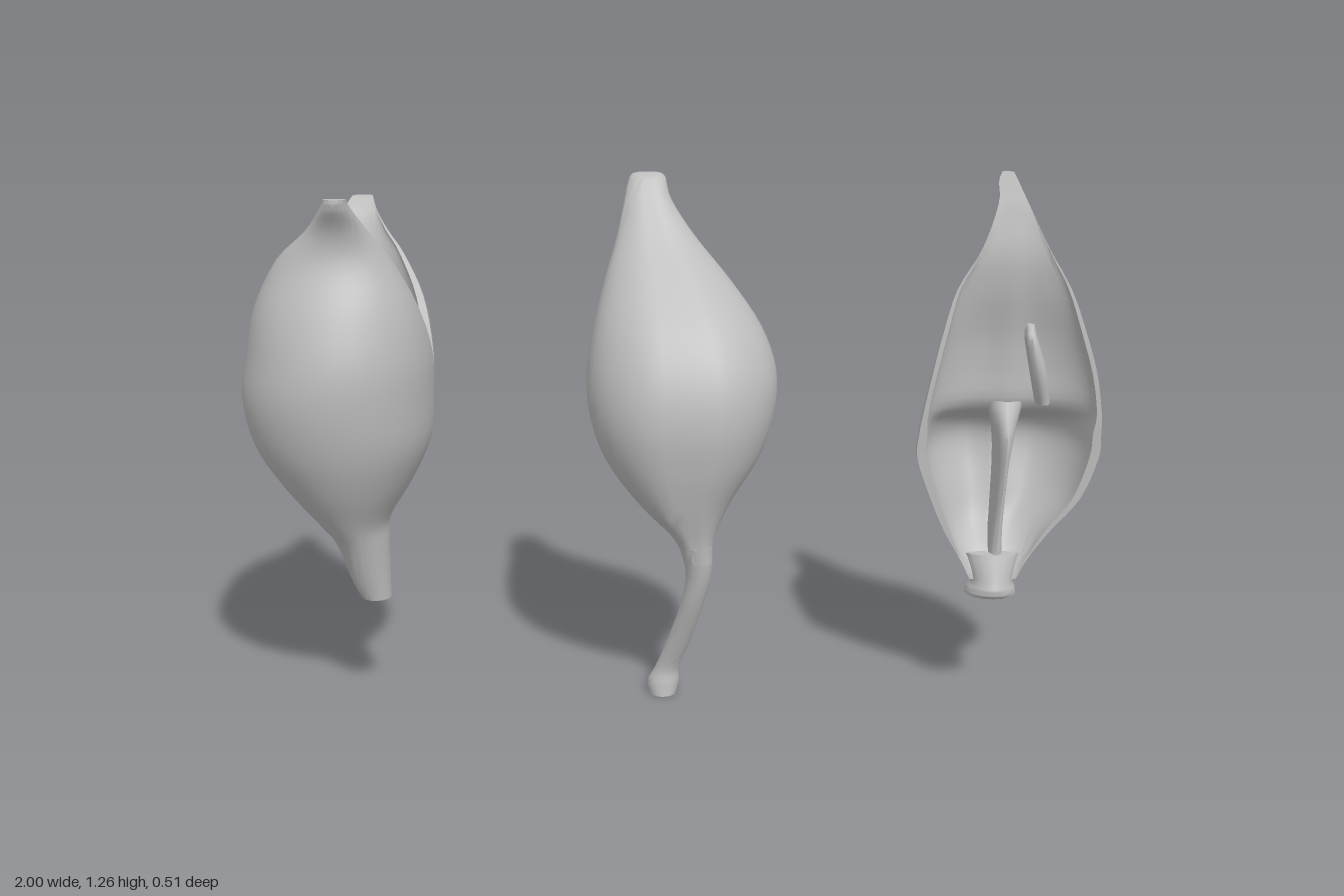
import * as THREE from 'three';
import { toCreasedNormals } from 'three/addons/utils/BufferGeometryUtils.js';

const podGrey = new THREE.MeshStandardMaterial({ color: 0xbcbcbc });
podGrey.name = 'podGrey';

// Smoothly resample rows of numbers (Catmull-Rom on every column)
function resample(rows, steps = 4) {
  const out = [], n = rows.length - 1;
  for (let k = 0; k <= n * steps; k++) {
    const i = Math.min(Math.floor(k / steps), n - 1), t = k / steps - i;
    const [a, b, c, d] = [Math.max(i - 1, 0), i, i + 1, Math.min(i + 2, n)].map((m) => rows[m]);
    out.push(b.map((p, j) => {
      const m0 = (c[j] - a[j]) / 2, m1 = (d[j] - p) / 2, e = c[j] - p;
      return p + t * (m0 + t * (3 * e - 2 * m0 - m1 + t * (m0 + m1 - 2 * e)));
    }));
  }
  return out;
}

// Skin closed rings (ordered bottom to top) and cap both ends
function loft(name, rings) {
  const n = rings[0].length, pos = rings.flat(2), idx = [];
  for (let i = 0; i < rings.length - 1; i++) {
    for (let j = 0; j < n; j++) {
      const a = i * n + j, b = i * n + (j + 1) % n;
      idx.push(a, a + n, b, b, a + n, b + n);
    }
  }
  [rings[0], rings[rings.length - 1]].forEach((ring, top) => {
    const centre = pos.length / 3, base = top ? (rings.length - 1) * n : 0;
    pos.push(...[0, 1, 2].map((k) => ring.reduce((s, p) => s + p[k], 0) / n));
    for (let j = 0; j < n; j++) {
      const a = base + j, b = base + (j + 1) % n;
      idx.push(centre, ...(top ? [b, a] : [a, b]));
    }
  });
  const geo = new THREE.BufferGeometry();
  geo.setAttribute('position', new THREE.Float32BufferAttribute(pos, 3));
  geo.setIndex(idx);
  const mesh = new THREE.Mesh(toCreasedNormals(geo, 0.9), podGrey);
  mesh.name = name;
  return mesh;
}

// Dent that runs down the middle of a lobed surface
const dent = (c, amount) => 1 - amount * Math.exp(-((c / 0.25) ** 2));

// Solid body; rows are [y, xMin, xMax, zMin, zMax]
function solid(name, rows, lobe = 0, sides = 32) {
  return loft(name, resample(rows).map(([y, x0, x1, z0, z1]) =>
    Array.from({ length: sides }, (_, j) => {
      const a = (j / sides) * Math.PI * 2, c = Math.cos(a);
      return [(x0 + x1) / 2 + (x1 - x0) / 2 * c, y,
        (z0 + z1) / 2 + (z1 - z0) / 2 * Math.sin(a) * dent(c, lobe)];
    })));
}

// Half pod; rows are [y, xMin, xMax, zRim, zOuter, hollow], hollow 0 is solid
function valve(name, rows, lobe = 0, segs = 24) {
  return loft(name, resample(rows).map(([y, x0, x1, rim, outer, hollow]) => {
    const cx = (x0 + x1) / 2, rx = (x1 - x0) / 2, depth = outer - rim, s = Math.sign(depth);
    const h = Math.max(hollow, 0), ring = [];
    for (let j = 0; j <= segs; j++) {
      const a = (j / segs) * Math.PI, c = Math.cos(a);
      ring.push([cx + s * rx * c, y, rim + depth * Math.sin(a) * dent(c, lobe)]);
    }
    for (let j = segs; j >= 0; j--) {
      const a = (j / segs) * Math.PI, c = Math.cos(a);
      ring.push([cx + s * rx * (0.985 - 0.1 * h) * c, y, rim + depth * h * Math.sin(a) * dent(c, lobe)]);
    }
    return ring;
  }));
}

export function createModel() {
  const model = new THREE.Group();
  model.name = 'seedPods';
  const group = (name, ...parts) => {
    const g = new THREE.Group();
    g.name = name;
    g.add(...parts);
    model.add(g);
  };

  // Pod splitting open at the top into two valves
  group('splittingPod',
    valve('frontValve', [
      [0.26, -0.745, -0.675, 0.04, 0.075, 0],
      [0.30, -0.765, -0.675, 0.04, 0.085, 0],
      [0.40, -0.80, -0.675, 0.035, 0.115, 0],
      [0.46, -0.845, -0.67, 0.03, 0.145, 0],
      [0.55, -0.92, -0.615, 0.02, 0.195, 0.4],
      [0.65, -0.98, -0.57, 0.015, 0.235, 0.75],
      [0.76, -1.0, -0.56, 0.015, 0.255, 0.85],
      [0.86, -0.985, -0.56, 0.02, 0.25, 0.85],
      [0.97, -0.955, -0.585, 0.055, 0.215, 0.8],
      [1.08, -0.895, -0.635, 0.085, 0.165, 0.65],
      [1.15, -0.82, -0.68, 0.12, 0.165, 0.4],
      [1.21, -0.775, -0.71, 0.165, 0.198, 0.1],
      [1.23, -0.765, -0.715, 0.18, 0.2, 0],
    ]),
    valve('backValve', [
      [0.26, -0.745, -0.675, 0.04, 0.01, 0],
      [0.30, -0.765, -0.675, 0.04, 0.0, 0],
      [0.40, -0.80, -0.675, 0.035, -0.045, 0],
      [0.46, -0.845, -0.67, 0.03, -0.085, 0],
      [0.55, -0.92, -0.615, 0.02, -0.145, 0.4],
      [0.65, -0.98, -0.57, 0.015, -0.185, 0.75],
      [0.76, -1.0, -0.56, 0.015, -0.205, 0.85],
      [0.86, -0.985, -0.56, 0.005, -0.2, 0.85],
      [0.97, -0.955, -0.585, -0.05, -0.18, 0.75],
      [1.06, -0.89, -0.635, -0.11, -0.175, 0.6],
      [1.11, -0.83, -0.675, -0.14, -0.205, 0.4],
      [1.15, -0.79, -0.705, -0.18, -0.245, 0.1],
      [1.18, -0.77, -0.72, -0.225, -0.25, 0],
    ]),
    solid('innerCore', [
      [0.55, -0.86, -0.68, -0.06, 0.09],
      [0.70, -0.90, -0.64, -0.08, 0.10],
      [0.83, -0.88, -0.65, -0.05, 0.07],
      [0.87, -0.82, -0.71, -0.02, 0.04],
    ], 0, 16));

  // Closed pod with a leaning beak and a curved stalk
  group('closedPod',
    solid('body', [
      [0.36, 0.025, 0.09, 0.045, 0.115],
      [0.42, -0.005, 0.095, 0.01, 0.125],
      [0.50, -0.09, 0.135, -0.085, 0.15],
      [0.60, -0.165, 0.20, -0.165, 0.175],
      [0.70, -0.20, 0.235, -0.205, 0.185],
      [0.80, -0.205, 0.24, -0.212, 0.165],
      [0.90, -0.19, 0.205, -0.198, 0.11],
      [1.00, -0.165, 0.135, -0.178, 0.02],
      [1.10, -0.135, 0.05, -0.168, -0.075],
      [1.18, -0.118, -0.005, -0.185, -0.13],
      [1.23, -0.105, -0.02, -0.21, -0.165],
      [1.24, -0.09, -0.035, -0.207, -0.18],
    ], 0.07),
    solid('stalk', [
      [0.0, -0.06, 0.005, -0.025, 0.045],
      [0.03, -0.065, 0.012, -0.03, 0.04],
      [0.07, -0.045, 0.012, -0.01, 0.035],
      [0.15, -0.015, 0.042, 0.01, 0.058],
      [0.25, 0.015, 0.07, 0.035, 0.09],
      [0.33, 0.027, 0.088, 0.045, 0.108],
      [0.40, 0.01, 0.09, 0.04, 0.12],
    ], 0, 16));

  // Halved pod showing its hollow inside
  group('halvedPod',
    valve('shell', [
      [0.30, 0.705, 0.815, 0.04, -0.03, 0],
      [0.35, 0.68, 0.84, 0.04, -0.045, 0.3],
      [0.42, 0.64, 0.89, 0.04, -0.085, 0.8],
      [0.50, 0.605, 0.957, 0.04, -0.125, 0.88],
      [0.60, 0.57, 0.995, 0.04, -0.168, 0.88],
      [0.66, 0.572, 0.997, 0.042, -0.178, 0.75],
      [0.71, 0.58, 0.995, 0.043, -0.176, 0.4],
      [0.80, 0.597, 0.98, 0.043, -0.15, 0.42],
      [0.90, 0.62, 0.95, 0.037, -0.09, 0.5],
      [1.00, 0.65, 0.912, 0.027, -0.045, 0.4],
      [1.09, 0.705, 0.86, 0.012, -0.03, 0.2],
      [1.19, 0.742, 0.812, -0.015, -0.063, 0],
      [1.24, 0.743, 0.788, -0.028, -0.06, 0],
      [1.26, 0.75, 0.778, -0.033, -0.055, 0],
    ], 0.18),
    solid('septum', [
      [0.30, 0.745, 0.785, -0.02, 0.04],
      [0.42, 0.755, 0.785, -0.07, 0.035],
      [0.55, 0.765, 0.795, -0.12, 0.025],
      [0.64, 0.76, 0.81, -0.13, 0.015],
      [0.72, 0.74, 0.83, -0.08, -0.02],
    ], 0, 16),
    solid('innerFlap', [
      [0.72, 0.85, 0.885, -0.05, 0.01],
      [0.80, 0.83, 0.87, -0.03, 0.03],
      [0.88, 0.815, 0.845, -0.03, 0.025],
      [0.91, 0.82, 0.838, -0.02, 0.0],
    ], 0, 12),
    solid('base', [
      [0.26, 0.697, 0.82, -0.035, 0.07],
      [0.275, 0.70, 0.818, -0.05, 0.08],
      [0.30, 0.71, 0.81, -0.03, 0.07],
      [0.36, 0.69, 0.83, -0.045, 0.045],
    ], 0, 16));

  return model;
}
